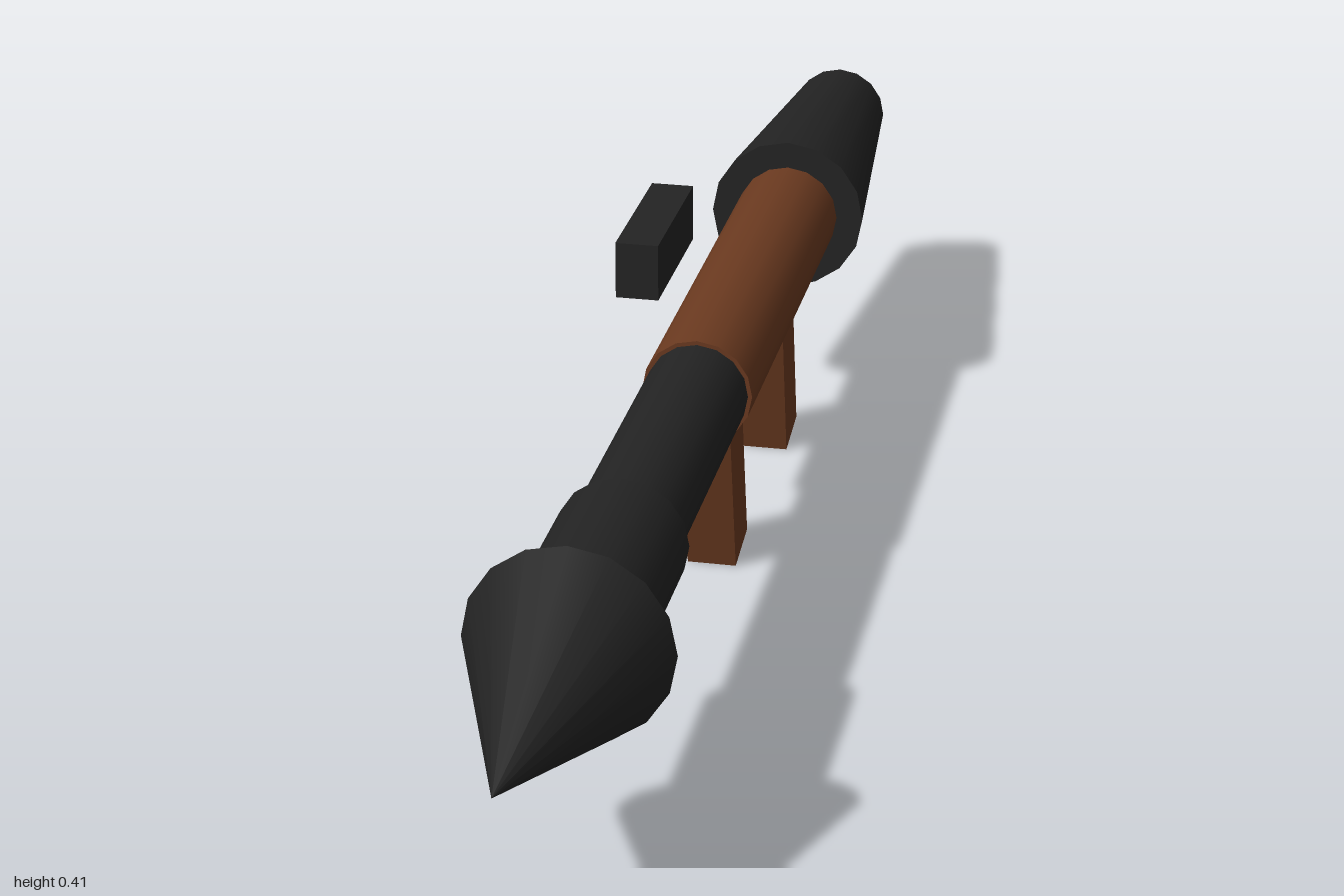
import * as THREE from 'three';

export function createModel() {
  const model = new THREE.Group();
  model.name = 'launcher';

  const darkMetal = new THREE.MeshStandardMaterial({ color: 0x232323 });
  darkMetal.name = 'dark metal';
  const brownWood = new THREE.MeshStandardMaterial({ color: 0x6b3a20 });
  brownWood.name = 'brown wood';

  const axisX = 0.003, axisY = 0.273;

  function add(name, geometry, material, x, y, z) {
    const mesh = new THREE.Mesh(geometry, material);
    mesh.name = name;
    mesh.position.set(x, y, z);
    model.add(mesh);
    return mesh;
  }

  // A round section along z, from its front end to its back end
  function section(name, material, zFront, zBack, rFront, rBack) {
    const geometry = new THREE.CylinderGeometry(rFront, rBack, zFront - zBack, 16);
    geometry.rotateX(Math.PI / 2);
    add(name, geometry, material, axisX, axisY, (zFront + zBack) / 2);
  }

  // Warhead, barrel and exhaust
  section('warheadTip', darkMetal, 1, 0.684, 0, 0.115);
  section('warheadBody', darkMetal, 0.684, 0.433, 0.075, 0.075);
  section('barrel', darkMetal, 0.433, 0.027, 0.062, 0.062);
  section('heatGuard', brownWood, 0.027, -0.577, 0.067, 0.067);
  section('exhaust', darkMetal, -0.577, -1, 0.102, 0.064);

  // Slanted grips reaching up into the heat guard
  for (const [name, z] of [['frontGrip', -0.077], ['rearGrip', -0.43]]) {
    const grip = add(name, new THREE.BoxGeometry(0.061, 0.25, 0.076), brownWood, axisX, 0.13, z);
    grip.rotation.x = 0.2;
  }

  // Sight beside the tube
  add('sight', new THREE.BoxGeometry(0.053, 0.071, 0.21), darkMetal, -0.0935, 0.3785, -0.185);

  return model;
}
